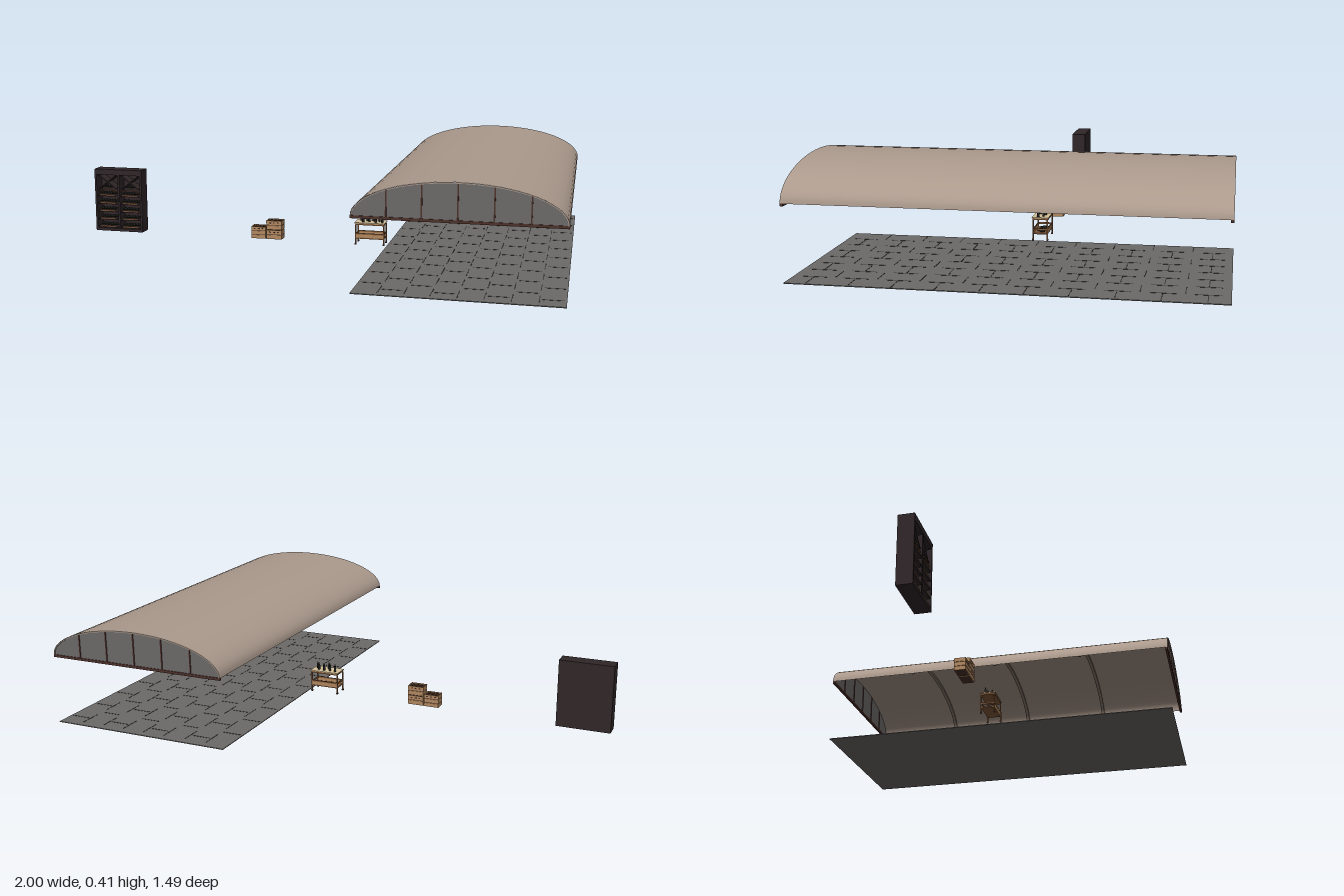
import * as THREE from 'three';

const mat = (name, color, side = THREE.FrontSide) => {
  const m = new THREE.MeshStandardMaterial({ color, side });
  m.name = name;
  return m;
};

export function createModel() {
  const M = {
    plaster: mat('plaster', 0xab998c, THREE.DoubleSide),
    rib: mat('ribStone', 0x8a7b70),
    stone: mat('greyStone', 0x6c6a68),
    mortar: mat('mortar', 0x3a3735),
    trim: mat('trimWood', 0x4c302a),
    rack: mat('rackWood', 0x302628),
    crate: mat('crateWood', 0xb1875f),
    shelf: mat('shelfWood', 0x855a3a),
    pale: mat('paleWood', 0xd6c29c),
    glass: mat('bottleGlass', 0x252823),
  };
  const model = new THREE.Group();
  model.name = 'cellarSet';
  const group = (name, x = 0, y = 0, z = 0) => {
    const g = new THREE.Group();
    g.name = name;
    g.position.set(x, y, z);
    model.add(g);
    return g;
  };
  const add = (parent, name, geo, m, x = 0, y = 0, z = 0) => {
    const mesh = new THREE.Mesh(geo, m);
    mesh.name = name;
    mesh.position.set(x, y, z);
    parent.add(mesh);
    return mesh;
  };
  const box = (p, name, m, w, h, d, x, y, z) =>
    add(p, name, new THREE.BoxGeometry(w, h, d), m, x, y, z);

  // Hall: half width, arch rise, spring height and half length
  const A = 0.365, R = 0.13, Y = 0.275, L = 0.745;

  // Stone floor with short staggered joints
  const floor = group('floor', 0.635);
  box(floor, 'floorSlab', M.stone, 2 * A, 0.003, 2 * L, 0, 0.0015, 0);
  const rows = 8, tileW = 2 * A / rows, tileL = 2 * L / 10;
  for (let i = 0; i < rows; i++) {
    const x = -A + (i + 0.5) * tileW;
    for (let j = 0; j < 10; j++) {
      const z = -L + (j + (i % 2 ? 0.5 : 1)) * tileL;
      if (z < L - 0.01) box(floor, 'crossJoint', M.mortar, tileW * 0.8, 0.001, 0.003, x, 0.0033, z);
      if (i > 0) box(floor, 'longJoint', M.mortar, 0.003, 0.001, tileL * 0.6,
        x - tileW / 2, 0.0033, -L + (j + 0.5) * tileL);
    }
  }

  // Barrel vault: a sheet bent to half an ellipse
  const vault = group('vault', 0.635, Y);
  const sheet = new THREE.PlaneGeometry(1, 2 * L, 32, 1).rotateX(-Math.PI / 2);
  const p = sheet.attributes.position;
  for (let i = 0; i < p.count; i++) {
    const t = (0.5 - p.getX(i)) * Math.PI;
    p.setXY(i, A * Math.cos(t), R * Math.sin(t));
  }
  sheet.computeVertexNormals();
  add(vault, 'vaultShell', sheet, M.plaster);

  // Arched bands: ribs under the vault and a rim at each end
  const band = (thick, depth) => {
    const arch = new THREE.Shape();
    arch.absellipse(0, 0, A - 0.001, R - 0.001, 0, Math.PI, false);
    arch.lineTo(-A + thick, 0);
    arch.absellipse(0, 0, A - thick, R - thick, Math.PI, 0, true);
    return new THREE.ExtrudeGeometry(arch, { depth, bevelEnabled: false, curveSegments: 24 });
  };
  const ribGeo = band(0.01, 0.014), rimGeo = band(0.005, 0.004);
  for (const z of [-0.37, 0, 0.37]) add(vault, 'rib', ribGeo, M.rib, 0, 0, z - 0.007);

  // End walls with battens and a sill beam
  const end = new THREE.Shape();
  end.absellipse(0, 0, A - 0.002, R - 0.002, 0, Math.PI, false);
  const endGeo = new THREE.ExtrudeGeometry(end, { depth: 0.006, bevelEnabled: false, curveSegments: 24 });
  for (const s of [-1, 1]) {
    add(vault, 'endWall', endGeo, M.stone, 0, 0, s * (L - 0.006) - 0.003);
    add(vault, 'endRim', rimGeo, M.plaster, 0, 0, s * (L - 0.002) - 0.002);
    box(vault, 'sillBeam', M.trim, 2 * A, 0.01, 0.01, 0, -0.004, s * (L - 0.005));
    for (let i = -2; i <= 2; i++) {
      const x = i * 0.121, h = R * Math.sqrt(1 - (x / A) ** 2) - 0.005;
      box(vault, 'batten', M.trim, 0.005, h, 0.012, x, h / 2, s * (L - 0.006));
    }
  }

  // Bottle: turned profile standing on its base
  const bottleGeo = new THREE.LatheGeometry([
    [0, 0], [0.0045, 0], [0.0045, 0.018], [0.0018, 0.023], [0.0018, 0.03], [0, 0.03],
  ].map(([x, y]) => new THREE.Vector2(x, y)), 10);
  const bottle = (parent, x, y, z, lying = false) => {
    const b = add(parent, 'bottle', bottleGeo, M.glass, x, y, z);
    if (lying) b.rotation.x = Math.PI / 2;
    return b;
  };

  // Tall bottle rack
  const rack = group('bottleRack', -0.894);
  const W = 0.212, H = 0.267, D = 0.06;
  box(rack, 'rackBack', M.rack, W, H, 0.006, 0, H / 2, -D / 2 + 0.003);
  for (const x of [-1, 1]) box(rack, 'rackSide', M.rack, 0.008, H, D, x * (W / 2 - 0.004), H / 2, 0);
  box(rack, 'rackDivider', M.rack, 0.008, H - 0.03, D - 0.006, 0, H / 2, 0);
  box(rack, 'rackTop', M.rack, W, 0.024, D, 0, H - 0.012, 0);
  box(rack, 'rackPlinth', M.rack, W, 0.012, D, 0, 0.006, 0);
  for (const side of [-1, 1]) {
    const cx = side * 0.051;
    for (let r = 0; r < 5; r++) {
      const y = 0.02 + r * 0.034;
      box(rack, 'rackShelf', M.rack, 0.094, 0.004, D - 0.006, cx, y - 0.004, 0);
      box(rack, 'shelfRail', M.shelf, 0.07, 0.005, 0.004, cx, y, D / 2 - 0.005);
      for (let c = 0; c < 6; c++) bottle(rack, cx + (c - 2.5) * 0.013, y + 0.0065, -0.006, true);
    }
    // Crossed slats at the top of each bay
    for (const tilt of [-1, 1]) {
      const slat = box(rack, 'crossSlat', M.rack, 0.094, 0.004, 0.046, cx, 0.211, 0);
      slat.rotation.z = tilt * 0.65;
      const edge = box(rack, 'slatRail', M.shelf, 0.04, 0.004, 0.003, cx + tilt * 0.022, 0.176, D / 2 - 0.008);
      edge.rotation.z = -tilt * 0.35;
    }
    for (const dx of [-0.012, 0, 0.012]) bottle(rack, cx + dx, 0.19, -0.008, true);
  }

  // Slatted crate with a dark lining and bottles set into it
  const crate = (name, x, y, w, h, d) => {
    const g = group(name, x, y);
    box(g, 'crateLining', M.trim, w - 0.005, h - 0.007, d - 0.005, 0, (h - 0.007) / 2 + 0.001, 0);
    const n = Math.max(2, Math.round(h / 0.018)), slatH = h / n;
    for (let i = 0; i < n; i++) {
      const sy = (i + 0.5) * slatH;
      for (const s of [-1, 1]) {
        box(g, 'crateSlat', M.crate, w, slatH - 0.0022, 0.003, 0, sy, s * (d / 2 - 0.0015));
        box(g, 'crateEndSlat', M.crate, 0.003, slatH - 0.0022, d - 0.006, s * (w / 2 - 0.0015), sy, 0);
      }
    }
    for (const s of [-1, 1]) for (const dx of [-0.017, 0, 0.017])
      box(g, 'handSlot', M.trim, 0.007, 0.004, 0.001, dx, h - slatH / 2, s * (d / 2 + 0.0003));
    box(g, 'crateDivider', M.shelf, w - 0.006, 0.005, 0.003, 0, h - 0.006, 0);
    for (let i = -1; i <= 1; i++) {
      if (i) box(g, 'crateDivider', M.shelf, 0.003, 0.005, d - 0.006, i * 0.009, h - 0.006, 0);
      for (const z of [-0.011, 0.011]) bottle(g, i * 0.018, h - 0.031, z);
    }
  };
  crate('lowCrate', -0.274, 0, 0.062, 0.052, 0.046);
  crate('baseCrate', -0.207, 0, 0.066, 0.04, 0.046);
  crate('topCrate', -0.207, 0.04, 0.066, 0.04, 0.046);

  // Serving table with a low tray and bottles on top
  const table = group('servingTable', 0.198);
  box(table, 'tableTop', M.pale, 0.124, 0.003, 0.066, 0, 0.0905, 0);
  box(table, 'tableApron', M.shelf, 0.118, 0.007, 0.062, 0, 0.0855, 0);
  box(table, 'lowShelf', M.shelf, 0.116, 0.005, 0.056, 0, 0.027, 0);
  for (const s of [-1, 1]) {
    box(table, 'trayRail', M.shelf, 0.116, 0.006, 0.003, 0, 0.045, s * 0.027);
    box(table, 'trayPanel', M.crate, 0.116, 0.013, 0.002, 0, 0.036, s * 0.027);
    box(table, 'endRail', M.shelf, 0.003, 0.007, 0.054, s * 0.056, 0.044, 0);
    for (const z of [-1, 1]) {
      box(table, 'tableLeg', M.shelf, 0.005, 0.082, 0.005, s * 0.058, 0.041, z * 0.028);
      box(table, 'legFoot', M.trim, 0.007, 0.006, 0.007, s * 0.058, 0.003, z * 0.028);
    }
  }
  // Two loose rows of four bottles of mixed height
  for (let i = 0; i < 4; i++) {
    bottle(table, -0.042 + i * 0.025, 0.092, -0.013 + (i % 2) * 0.004);
    bottle(table, -0.03 + i * 0.026, 0.092, 0.013 - (i % 2) * 0.004).scale.y = 0.75 + (i % 2) * 0.2;
    bottle(table, -0.036 + i * 0.024, 0.034, -0.015, true);
  }
  return model;
}
